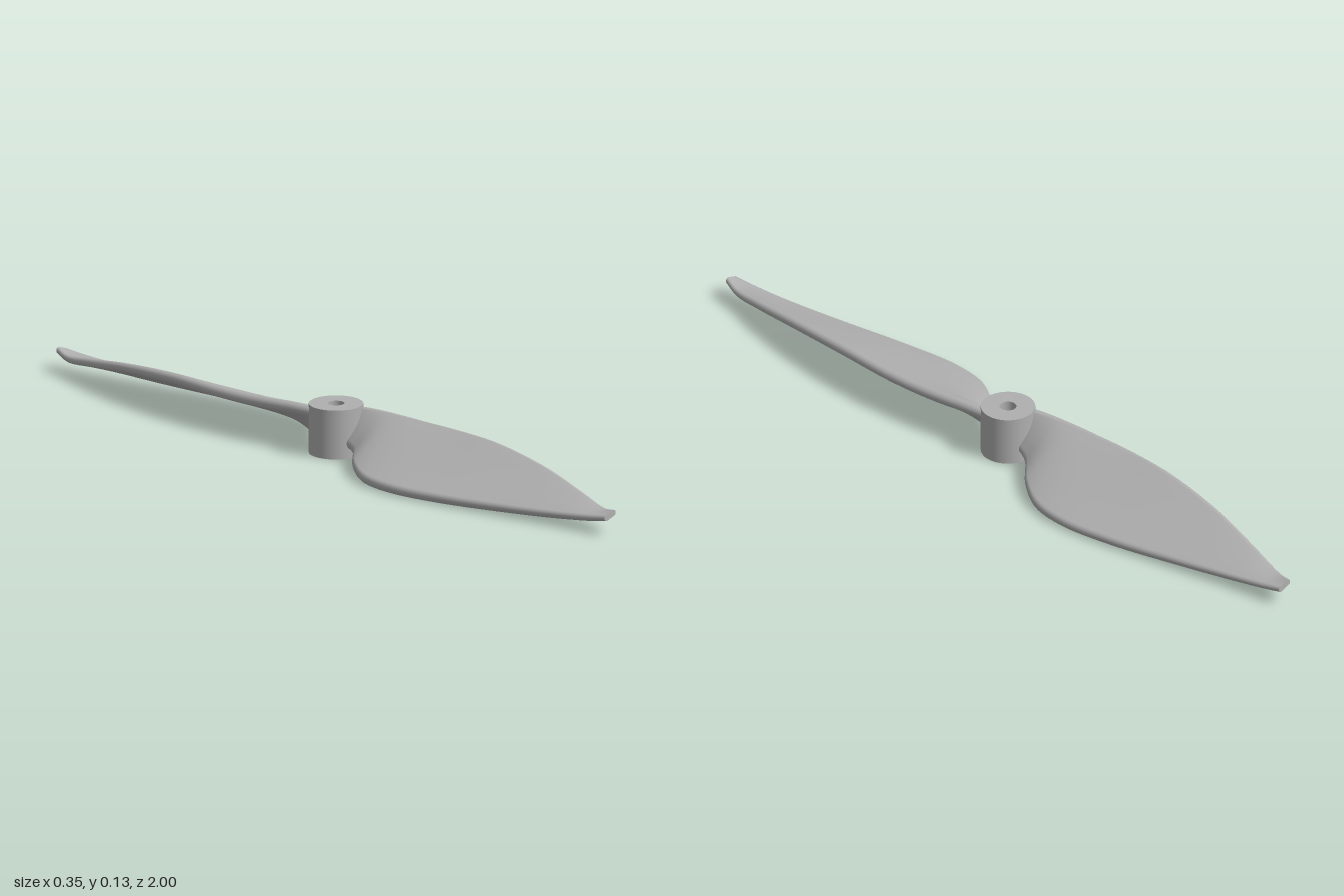
import * as THREE from 'three';
import { mergeGeometries } from 'three/addons/utils/BufferGeometryUtils.js';

// Blade stations along +z: z, low edge x, y, high edge x, y, thickness
const STATIONS = [
  [0.035, -0.015, 0.042, 0.054, 0.104, 0.030],
  [0.10, -0.045, 0.035, 0.063, 0.105, 0.030],
  [0.17, -0.115, 0.024, 0.072, 0.103, 0.030],
  [0.25, -0.163, 0.016, 0.078, 0.101, 0.029],
  [0.35, -0.177, 0.014, 0.081, 0.101, 0.028],
  [0.50, -0.160, 0.015, 0.073, 0.100, 0.027],
  [0.70, -0.120, 0.021, 0.046, 0.082, 0.024],
  [0.85, -0.090, 0.029, 0.015, 0.058, 0.021],
  [0.95, -0.073, 0.038, -0.009, 0.044, 0.018],
  [1.00, -0.065, 0.045, -0.025, 0.053, 0.016],
];

// Smooth curve through three columns of the station table
const columnCurve = (a, b, c) => new THREE.CatmullRomCurve3(
  STATIONS.map((s) => new THREE.Vector3(s[a], s[b], s[c])));

// Rounded section running from the low edge to the high edge, counter-clockwise
function section(low, high, thickness) {
  const r = thickness / 2, steps = 10, flat = 6, pts = [];
  const angle = Math.atan2(high.y - low.y, high.x - low.x);
  const a = [low.x + r, low.y], b = [high.x - r, high.y];
  const arc = (c, from) => {
    for (let i = 0; i <= steps; i++) {
      const t = angle + from + (Math.PI * i) / steps;
      pts.push([c[0] + r * Math.cos(t), c[1] + r * Math.sin(t)]);
    }
  };
  const line = (from, to, side) => {
    for (let i = 1; i < flat; i++) {
      const k = i / flat;
      pts.push([
        from[0] + (to[0] - from[0]) * k - Math.sin(angle) * r * side,
        from[1] + (to[1] - from[1]) * k + Math.cos(angle) * r * side,
      ]);
    }
  };
  arc(b, -Math.PI / 2);
  line(b, a, 1);
  arc(a, Math.PI / 2);
  line(a, b, -1);
  return pts;
}

// Loft the sections into a closed blade with sharp end caps
function bladeGeometry() {
  const lowCurve = columnCurve(1, 2, 0), highCurve = columnCurve(3, 4, 0);
  const thickCurve = columnCurve(5, 5, 0);
  const rows = 72, pos = [], index = [];
  let n = 0;
  const sections = [];
  for (let i = 0; i <= rows; i++) {
    const t = i / rows;
    const low = lowCurve.getPoint(t);
    const pts = section(low, highCurve.getPoint(t), thickCurve.getPoint(t).x);
    n = pts.length;
    sections.push(pts.map(([x, y]) => [x, y, low.z]));
    pos.push(...sections[i].flat());
  }
  for (let i = 0; i < rows; i++) {
    for (let j = 0; j < n; j++) {
      const k = (j + 1) % n;
      const a = i * n + j, b = i * n + k, c = a + n, d = b + n;
      index.push(a, b, d, a, d, c);
    }
  }
  for (const [row, flip] of [[0, true], [rows, false]]) {
    const start = pos.length / 3;
    pos.push(...sections[row].flat());
    for (let j = 1; j < n - 1; j++) {
      if (flip) index.push(start, start + j + 1, start + j);
      else index.push(start, start + j, start + j + 1);
    }
  }
  const geo = new THREE.BufferGeometry();
  geo.setAttribute('position', new THREE.Float32BufferAttribute(pos, 3));
  geo.setIndex(index);
  geo.computeVertexNormals();
  return geo;
}

// Bored cylinder: one lathe per profile edge keeps the rims sharp
function hubGeometry(outer, bore, height) {
  const p = [[outer, 0], [outer, height], [bore, height], [bore, 0]]
    .map(([x, y]) => new THREE.Vector2(x, y));
  return mergeGeometries(p.map((q, i) => new THREE.LatheGeometry([q, p[(i + 1) % 4]], 64)));
}

export function createModel() {
  const plastic = new THREE.MeshStandardMaterial({ color: 0xb0b0b0 });
  plastic.name = 'greyPlastic';

  const model = new THREE.Group();
  model.name = 'propeller';

  const hub = new THREE.Mesh(hubGeometry(0.068, 0.021, 0.127), plastic);
  hub.name = 'hub';
  model.add(hub);

  // Two identical blades, half a turn apart
  const blade = bladeGeometry();
  ['frontBlade', 'backBlade'].forEach((name, i) => {
    const mesh = new THREE.Mesh(blade, plastic);
    mesh.name = name;
    mesh.rotation.y = i * Math.PI;
    model.add(mesh);
  });
  return model;
}
